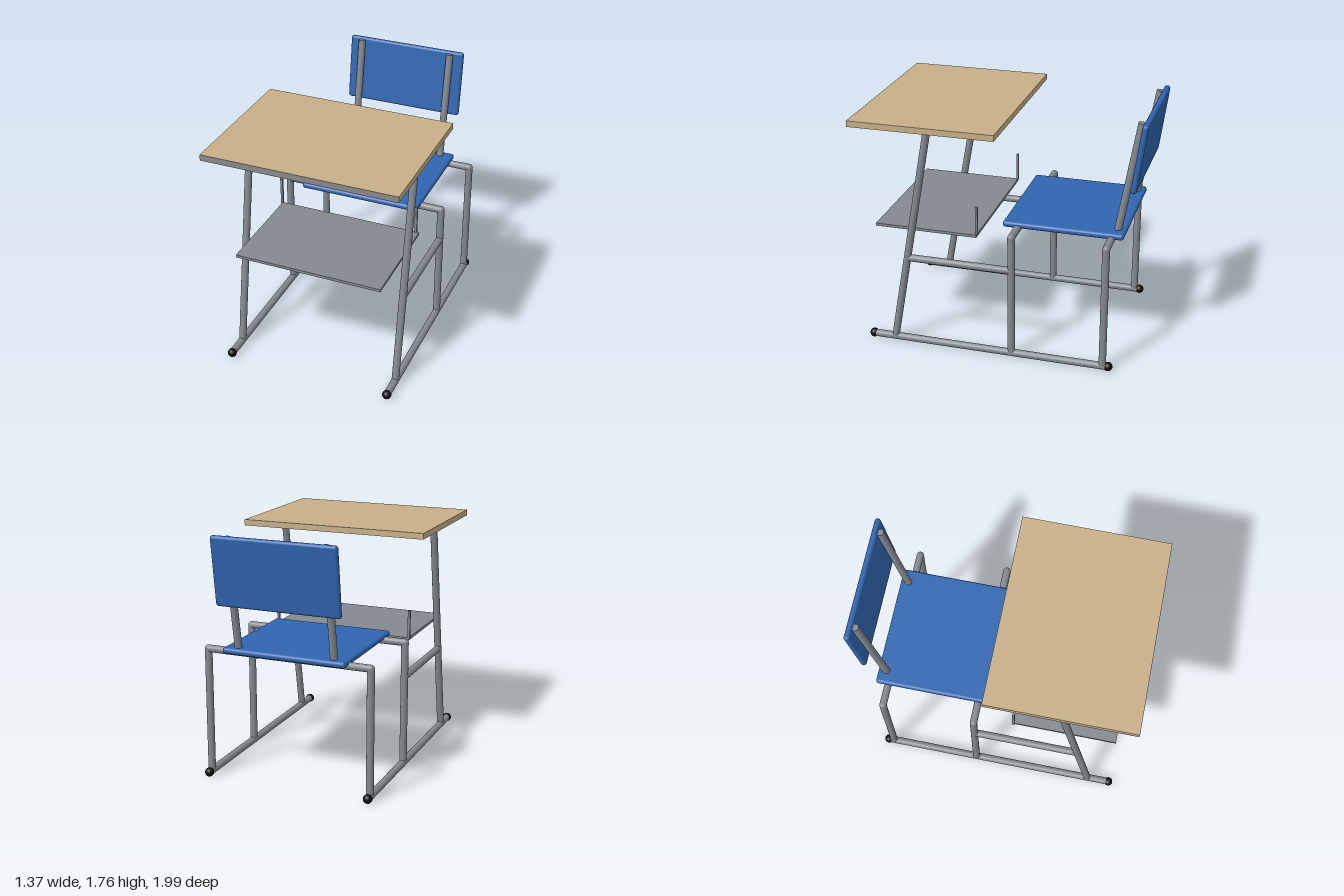
import * as THREE from 'three';
import { RoundedBoxGeometry } from 'three/addons/geometries/RoundedBoxGeometry.js';

const material = (name, color) => {
  const m = new THREE.MeshStandardMaterial({ color });
  m.name = name;
  return m;
};

export function createModel() {
  const steel = material('grey steel', 0x838990);
  const wood = material('tan wood', 0xc8af88);
  const edge = material('grey edge band', 0x8a8a8a);
  const blue = material('blue plastic', 0x2f65b0);
  const rubber = material('black rubber', 0x0a0a0a);
  const model = new THREE.Group();
  model.name = 'schoolDesk';
  const R = 0.026;

  const add = (name, geometry, mat, x, y, z, parent = model) => {
    const mesh = new THREE.Mesh(geometry, mat);
    mesh.name = name;
    mesh.position.set(x, y, z);
    parent.add(mesh);
    return mesh;
  };
  // Straight tube between two points
  const tube = (name, from, to, r = R) => {
    const a = new THREE.Vector3(...from), b = new THREE.Vector3(...to);
    const dir = b.clone().sub(a);
    const mid = a.clone().add(b).multiplyScalar(0.5);
    const mesh = add(name, new THREE.CylinderGeometry(r, r, dir.length(), 20), steel, mid.x, mid.y, mid.z);
    mesh.quaternion.setFromUnitVectors(new THREE.Vector3(0, 1, 0), dir.normalize());
  };
  const ball = (name, r, mat, x, y, z) => add(name, new THREE.SphereGeometry(r, 20, 12), mat, x, y, z);

  // Side frames: floor rail, sloping desk leg, seat legs and brace
  const left = 0.592, right = -0.597;
  for (const x of [left, right]) {
    tube('floorRail', [x, 0.035, -0.815], [x, 0.035, 0.915]);
    for (const z of [-0.815, 0.915]) ball('endCap', 0.032, rubber, x, 0.035, z);
    tube('deskLeg', [x, 0.04, 0.75], [x, 1.62, 0.467]);
    ball('deskLegElbow', R, steel, x, 1.62, 0.467);
    tube('sideBrace', [x, 0.68, -0.12], [x, 0.68, 0.63]);
    for (const z of [-0.12, -0.775]) {
      tube('seatLeg', [x, 0.04, z], [x, 0.93, z]);
      ball('seatLegElbow', R, steel, x, 0.93, z);
    }
  }

  // Cross bars under the desk top and the seat
  tube('deskCrossBar', [right, 1.62, 0.467], [left, 1.62, 0.467]);
  for (const z of [-0.12, -0.775]) tube('seatCrossBar', [right, 0.93, z], [left, 0.93, z]);

  // Desk top with a grey band on its front edge
  add('deskTop', new THREE.BoxGeometry(1.365, 0.043, 1.026), wood, -0.002, 1.667, 0.484);
  add('deskFrontEdge', new THREE.BoxGeometry(1.365, 0.043, 0.003), edge, -0.002, 1.667, 0.9985);

  // Book shelf with two upright pins at the back corners
  add('bookShelf', new THREE.BoxGeometry(1.055, 0.02, 0.74), steel, -0.002, 0.874, 0.52);
  for (const x of [-0.53, 0.502]) {
    add('shelfPin', new THREE.BoxGeometry(0.017, 0.21, 0.017), steel, x, 0.98, 0.153);
  }

  // Seat, leaning backrest and its posts
  add('seat', new RoundedBoxGeometry(0.893, 0.043, 0.848, 4, 0.02), blue, -0.002, 0.952, -0.437);
  const back = add('backrest', new RoundedBoxGeometry(0.893, 0.488, 0.042, 4, 0.02), blue, -0.002, 1.521, -0.943);
  back.rotation.x = -0.135;
  for (const x of [-0.351, 0.346]) tube('backPost', [x, 0.955, -0.802], [x, 1.75, -0.938]);

  return model;
}
